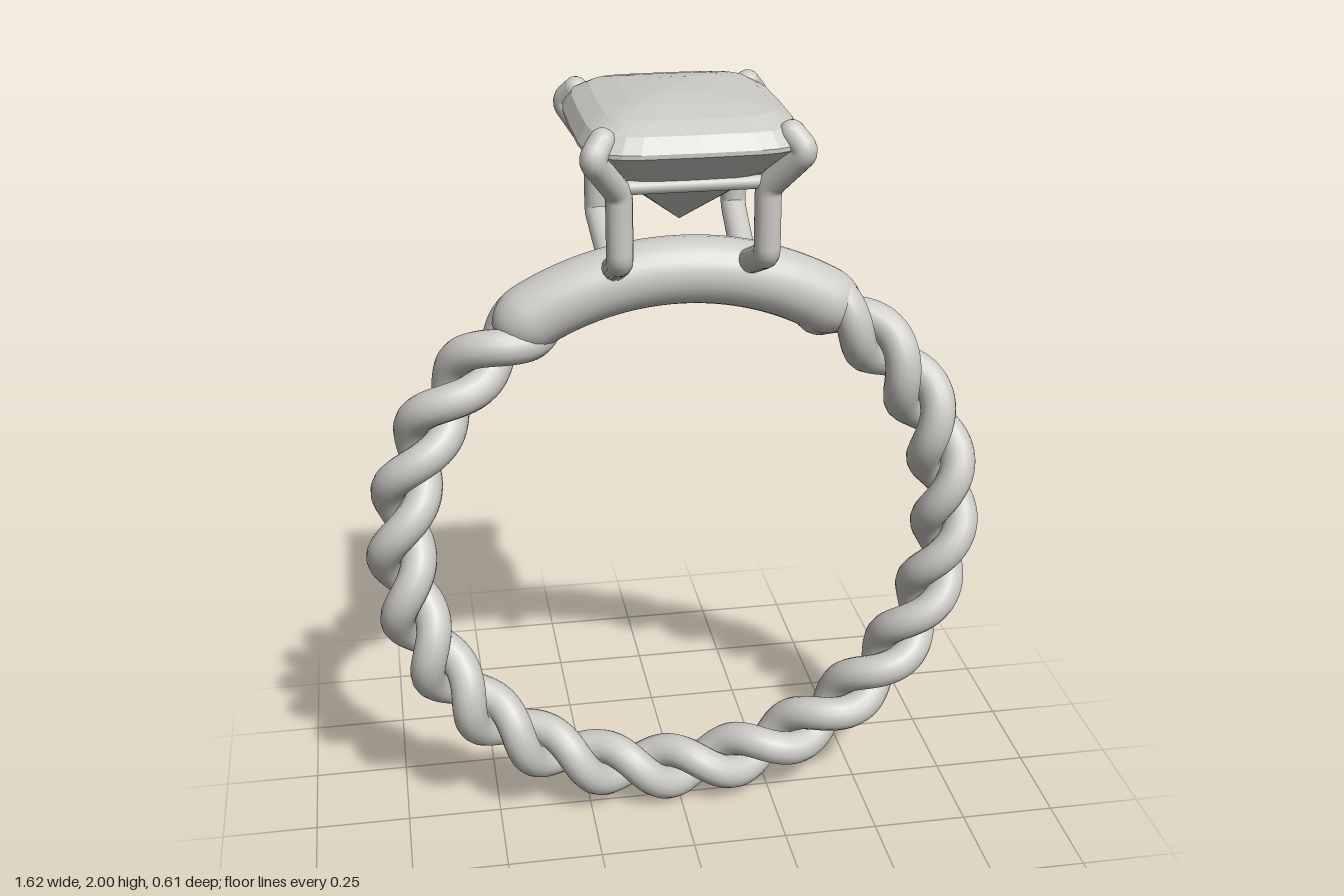
import * as THREE from 'three';
import { mergeVertices } from 'three/addons/utils/BufferGeometryUtils.js';

const CENTRE_Y = 0.81, ROPE_R = 0.72, DEG = Math.PI / 180;
const V = (x, y, z) => new THREE.Vector3(x, y, z);

// One rope strand wound around the ring, angle measured from the bottom
class StrandCurve extends THREE.Curve {
  constructor(phase) {
    super();
    this.phase = phase;
  }
  getPoint(t, target = new THREE.Vector3()) {
    const a = (t * 2 - 1) * 155 * DEG;
    const phi = 12 * a + this.phase;
    // the strands draw together as they enter the smooth shoulder
    const offset = 0.044 - 0.024 * THREE.MathUtils.smoothstep(Math.abs(a), 147 * DEG, 155 * DEG);
    const r = ROPE_R + offset * Math.cos(phi);
    return target.set(r * Math.sin(a), CENTRE_Y - r * Math.cos(a), -offset * Math.sin(phi));
  }
}

// Polyline with softly rounded corners
function roundedPath(points, bend) {
  const path = new THREE.CurvePath();
  let from = points[0];
  for (let i = 1; i < points.length - 1; i++) {
    const p = points[i];
    const before = p.clone().add(points[i - 1].clone().sub(p).setLength(bend));
    const after = p.clone().add(points[i + 1].clone().sub(p).setLength(bend));
    path.add(new THREE.LineCurve3(from, before));
    path.add(new THREE.QuadraticBezierCurve3(before, p, after));
    from = after;
  }
  path.add(new THREE.LineCurve3(from, points[points.length - 1]));
  return path;
}

// Smooth top of the band, with rounded closed ends
function shoulderGeometry() {
  const half = 38 * DEG, R = 0.73, tube = 0.084;
  let geo = new THREE.TorusGeometry(R, tube, 24, 72, half * 2);
  geo.rotateZ(Math.PI / 2 - half);
  const pos = geo.attributes.position;
  for (let i = 0; i < pos.count; i++) {
    const p = V().fromBufferAttribute(pos, i);
    const a = Math.atan2(p.x, p.y);
    const e = THREE.MathUtils.clamp((Math.abs(a) / DEG - 30) / 8, 0, 1);
    const c = V(R * Math.sin(a), R * Math.cos(a), 0);
    p.sub(c).multiplyScalar(Math.sqrt(Math.max(0, 1 - e * e))).add(c);
    pos.setXYZ(i, p.x, p.y, p.z);
  }
  geo.deleteAttribute('uv');
  geo.deleteAttribute('normal');
  geo = mergeVertices(geo, 1e-4);
  geo.computeVertexNormals();
  return geo.translate(0, CENTRE_Y, 0);
}

// Faceted cushion stone: a lathe squared off into a rounded rectangle
function stoneGeometry() {
  const profile = [[0, 1.67], [0.72, 1.83], [1, 1.903], [1, 1.913], [0.92, 1.948],
    [0.76, 1.972], [0.5, 1.988], [0.25, 1.997], [0, 2]].map(([r, y]) => new THREE.Vector2(r, y));
  let geo = new THREE.LatheGeometry(profile, 32);
  const pos = geo.attributes.position;
  const square = (v) => Math.sign(v) * Math.pow(Math.abs(v), 0.4);
  for (let i = 0; i < pos.count; i++) {
    const x = pos.getX(i), z = pos.getZ(i), r = Math.hypot(x, z);
    if (r < 1e-6) continue;
    const sx = Math.abs(x / r) < 1e-6 ? 0 : square(x / r);
    const sz = Math.abs(z / r) < 1e-6 ? 0 : square(z / r);
    pos.setX(i, 0.262 * r * sx);
    pos.setZ(i, 0.305 * r * sz);
  }
  geo = geo.toNonIndexed();
  geo.computeVertexNormals();
  return geo;
}

export function createModel() {
  const model = new THREE.Group();
  model.name = 'ring';
  const grey = new THREE.MeshStandardMaterial({ color: 0xcccac5 });
  grey.name = 'paleGrey';

  const add = (parent, name, geo) => {
    const mesh = new THREE.Mesh(geo, grey);
    mesh.name = name;
    parent.add(mesh);
    return mesh;
  };

  // Twisted band of two strands and its smooth shoulder
  const band = new THREE.Group();
  band.name = 'band';
  model.add(band);
  for (const phase of [0, Math.PI]) {
    add(band, 'ropeStrand', new THREE.TubeGeometry(new StrandCurve(phase), 420, 0.046, 16));
  }
  add(band, 'shoulder', shoulderGeometry());

  // Four bent prongs with round ends
  const setting = new THREE.Group();
  setting.name = 'setting';
  model.add(setting);
  const px = 0.174, pz = 0.205, thick = 0.032;
  for (const sx of [-1, 1]) {
    for (const sz of [-1, 1]) {
      const points = [
        V(0.166, 1.565, 0.04), V(px, 1.635, pz), V(px, 1.8, pz),
        V(0.244, 1.9, 0.279), V(0.216, 1.934, 0.25),
      ].map((p) => V(p.x * sx, p.y, p.z * sz));
      const prong = new THREE.Group();
      prong.name = 'prong';
      setting.add(prong);
      add(prong, 'prongWire', new THREE.TubeGeometry(roundedPath(points, 0.02), 80, thick, 14));
      for (const end of [points[0], points[points.length - 1]]) {
        add(prong, 'prongTip', new THREE.SphereGeometry(thick, 14, 10)).position.copy(end);
      }
    }
  }

  // Thin rail joining the prongs under the stone
  const corners = [V(px, 1.813, pz), V(px, 1.813, -pz), V(-px, 1.813, -pz), V(-px, 1.813, pz)];
  corners.forEach((c, i) => {
    const line = new THREE.LineCurve3(c, corners[(i + 1) % 4]);
    add(setting, 'rail', new THREE.TubeGeometry(line, 1, 0.017, 12));
  });

  add(model, 'stone', stoneGeometry());
  return model;
}
